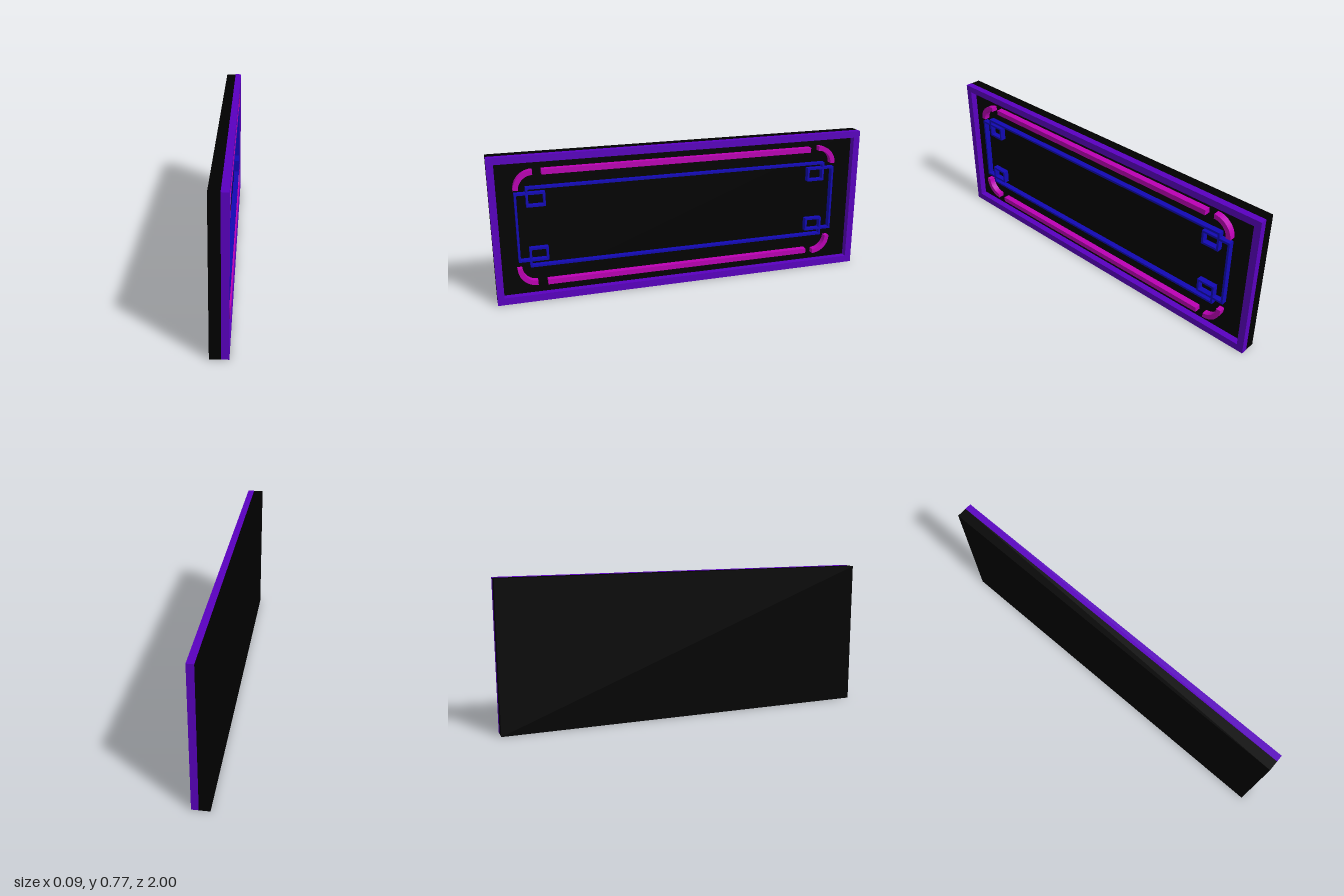
import * as THREE from 'three';

const FACE = 0.008; // x of the panel's front surface

const material = (color) => new THREE.MeshStandardMaterial({ color, flatShading: true });
const black = material(0x000000);
const purple = material(0x5a00c0);
const magenta = material(0xbb00b4);
const blue = material(0x1208b4);

// Reliefs are drawn in (u, v) = (-z, y) and extruded out of the panel along +x
function relief(name, shape, depth, mat) {
  const geometry = new THREE.ExtrudeGeometry(shape, { depth, bevelEnabled: false, curveSegments: 8 });
  geometry.rotateY(Math.PI / 2);
  geometry.translate(FACE, 0, 0);
  const mesh = new THREE.Mesh(geometry, mat);
  mesh.name = name;
  return mesh;
}

const polygon = (points) => new THREE.Shape(points.map(([u, v]) => new THREE.Vector2(u, v)));
const rectangle = (u1, v1, u2, v2) => polygon([[u1, v1], [u2, v1], [u2, v2], [u1, v2]]);

// Thin wall following an outline: outline(inset) returns a shape
function wall(outline, thickness) {
  const shape = outline(0);
  shape.holes.push(outline(thickness));
  return shape;
}

// Rectangle with a notch cut from each corner
function notched(t) {
  const [u1, u2, u3, u4] = [-0.88 + t, -0.823 + t, 0.797 - t, 0.855 - t];
  const [v1, v2, v3, v4] = [0.188 + t, 0.22 + t, 0.583 - t, 0.611 - t];
  return polygon([
    [u1, v2], [u2, v2], [u2, v1], [u3, v1], [u3, v2], [u4, v2],
    [u4, v3], [u3, v3], [u3, v4], [u2, v4], [u2, v3], [u1, v3],
  ]);
}

function quarterArc(u, v, radius, width, start) {
  const shape = new THREE.Shape();
  shape.absarc(u, v, radius, start, start + Math.PI / 2, false);
  shape.absarc(u, v, radius - width, start + Math.PI / 2, start, true);
  return shape;
}

export function createModel() {
  const model = new THREE.Group();
  model.name = 'wallPanel';

  // Backing panel
  const panel = new THREE.Mesh(new THREE.BoxGeometry(0.053, 0.772, 2), black);
  panel.name = 'backPanel';
  panel.position.set(FACE - 0.0265, 0.386, 0);
  model.add(panel);

  // Border frame
  const border = new THREE.Group();
  border.name = 'borderFrame';
  const bars = {
    borderBottom: [-1, 0, 1, 0.038],
    borderTop: [-1, 0.738, 1, 0.773],
    borderLeft: [-1, 0.038, -0.965, 0.738],
    borderRight: [0.965, 0.038, 1, 0.738],
  };
  for (const [name, r] of Object.entries(bars)) {
    border.add(relief(name, rectangle(...r), 0.035, purple));
  }
  model.add(border);

  // Long light strips and rounded corner strips
  const strips = new THREE.Group();
  strips.name = 'lightStrips';
  strips.add(relief('topStrip', rectangle(-0.74, 0.672, 0.71, 0.699), 0.033, magenta));
  strips.add(relief('bottomStrip', rectangle(-0.74, 0.085, 0.71, 0.112), 0.033, magenta));
  const corners = [
    [0.758, 0.604, 0],
    [-0.784, 0.6, 1],
    [-0.79, 0.187, 2],
    [0.752, 0.178, 3],
  ];
  for (const [u, v, turn] of corners) {
    const arc = quarterArc(u, v, 0.099, 0.025, turn * Math.PI / 2);
    strips.add(relief('cornerStrip', arc, 0.033, magenta));
  }
  model.add(strips);

  // Notched inner outline with a small square ring in each corner
  const inner = new THREE.Group();
  inner.name = 'innerOutline';
  inner.add(relief('notchedRail', wall(notched, 0.011), 0.03, blue));
  for (const [u1, u2] of [[-0.823, -0.727], [0.7, 0.797]]) {
    for (const [v1, v2] of [[0.22, 0.292], [0.508, 0.583]]) {
      const ring = wall((t) => rectangle(u1 + t, v1 + t, u2 - t, v2 - t), 0.011);
      inner.add(relief('cornerSquare', ring, 0.03, blue));
    }
  }
  model.add(inner);

  return model;
}
